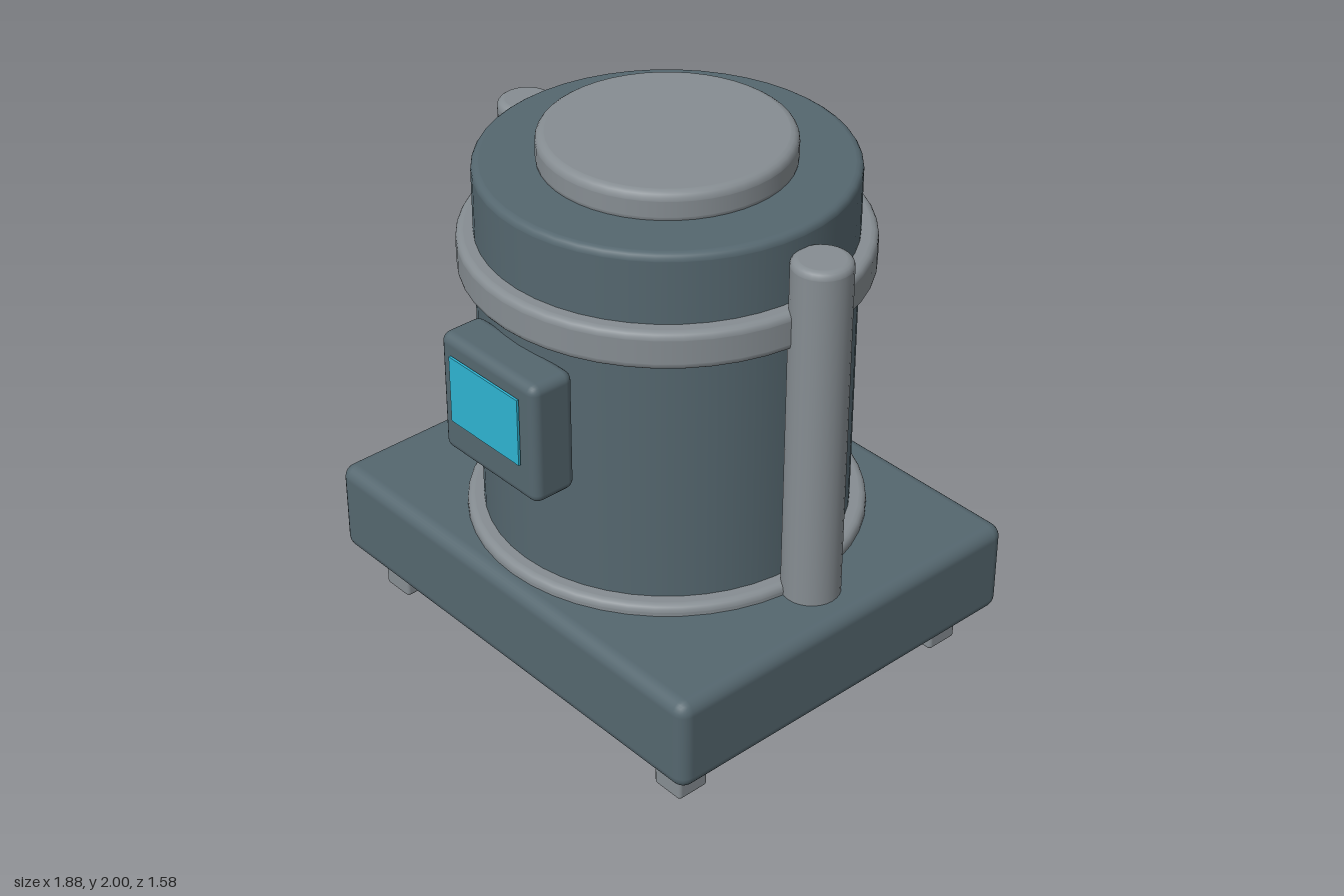
import * as THREE from 'three';
import { RoundedBoxGeometry } from 'three/addons/geometries/RoundedBoxGeometry.js';

const mat = (name, color) => {
  const m = new THREE.MeshStandardMaterial({ color });
  m.name = name;
  return m;
};

export function createModel() {
  const model = new THREE.Group();
  model.name = 'tankUnit';
  const body = mat('slate body', 0x55676f);
  const metal = mat('grey metal', 0x868d92);
  const glow = mat('cyan screen', 0x2fb3d1);
  const CZ = -0.02; // centre line of the tank and base

  const add = (name, geometry, material, x, y, z) => {
    const mesh = new THREE.Mesh(geometry, material);
    mesh.name = name;
    mesh.position.set(x, y, z);
    model.add(mesh);
    return mesh;
  };

  // Box given by its size, with rounded edges
  const box = (w, h, d, r) => new RoundedBoxGeometry(w, h, d, 3, r);

  // Upright disc or cylinder with rounded rims, standing on y = 0
  const drum = (radius, height, bevel, sides = 48) => {
    const pts = [new THREE.Vector2(0, 0), new THREE.Vector2(radius - bevel - 0.002, 0)];
    const steps = 4;
    for (let i = 0; i <= steps; i++) {
      const a = (i / steps) * Math.PI / 2;
      pts.push(new THREE.Vector2(radius - bevel + Math.sin(a) * bevel, bevel - Math.cos(a) * bevel));
    }
    pts.push(new THREE.Vector2(radius, bevel + 0.002));
    const lower = pts.slice();
    for (const p of lower.reverse()) pts.push(new THREE.Vector2(p.x, height - p.y));
    return new THREE.LatheGeometry(pts, sides);
  };

  // Base block and its four feet
  add('base', box(1.875, 0.36, 1.54, 0.05), body, 0, 0.34, CZ);
  for (const x of [-0.755, 0.755])
    for (const z of [-0.61, 0.61])
      add('foot', box(0.13, 0.2, 0.13, 0.015), metal, x, 0.1, z + CZ);

  // Tank with its lid
  add('tank', drum(0.655, 1.42, 0.025), body, 0, 0.48, CZ);
  add('lid', drum(0.44, 0.12, 0.03), metal, 0, 1.88, CZ);

  // Bands around the tank
  add('lowerBand', drum(0.715, 0.14, 0.025), metal, 0, 0.42, CZ);
  add('upperBand', drum(0.715, 0.14, 0.025), metal, 0, 1.505, CZ);

  // Side posts
  for (const x of [-0.74, 0.74])
    add('sidePost', drum(0.105, 1.39, 0.025, 28), metal, x, 0.44, CZ);

  // Control panel with a thin screen standing just off its face
  add('controlPanel', box(0.49, 0.46, 0.175, 0.035), body, 0, 1.2, 0.688);
  add('screen', new THREE.BoxGeometry(0.355, 0.255, 0.009), glow, 0, 1.238, 0.786);

  return model;
}
